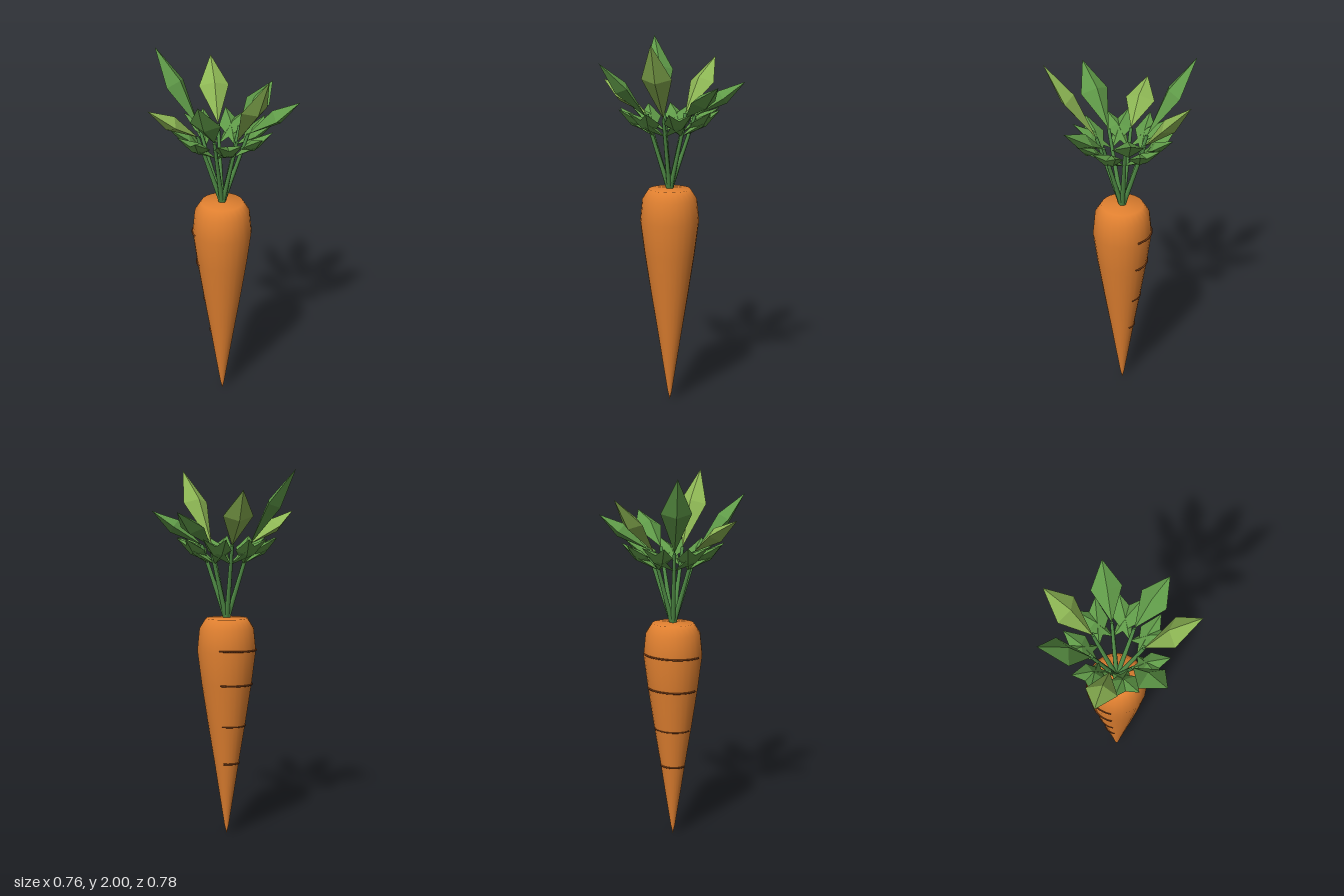
import * as THREE from 'three';
import { ConvexGeometry } from 'three/addons/geometries/ConvexGeometry.js';

const V = (x, y, z) => new THREE.Vector3(x, y, z);

function paint(name, color, flatShading = false) {
  const m = new THREE.MeshStandardMaterial({ color, flatShading });
  m.name = name;
  return m;
}

// Faceted diamond blade from base to tip, widest just past the middle, half as thick as wide
function blade(base, tip, halfWidth) {
  const dir = tip.clone().sub(base).normalize();
  const side = V(0, 1, 0).cross(dir).normalize();
  const up = dir.clone().cross(side);
  const mid = base.clone().lerp(tip, 0.55);
  const off = (v, d) => mid.clone().addScaledVector(v, d);
  return new ConvexGeometry([base, tip, off(side, halfWidth), off(side, -halfWidth),
    off(up, halfWidth / 2), off(up, -halfWidth / 2)]);
}

// Tapered rod between two points
function rod(a, b, rBottom, rTop) {
  const d = b.clone().sub(a);
  const g = new THREE.CylinderGeometry(rTop, rBottom, d.length(), 7);
  g.applyQuaternion(new THREE.Quaternion().setFromUnitVectors(V(0, 1, 0), d.normalize()));
  const c = a.clone().lerp(b, 0.5);
  return g.translate(c.x, c.y, c.z);
}

export function createModel() {
  const orange = paint('carrot orange', 0xe08030);
  const brown = paint('groove brown', 0x7a3d16);
  const stemGreen = paint('stem green', 0x529048);
  const leafGreen = paint('leaf green', 0x5f9a48, true);
  const lightGreen = paint('light leaf green', 0x8db654, true);

  const model = new THREE.Group();
  model.name = 'carrot';
  model.position.x = -0.02;
  const add = (parent, name, geometry, material) => {
    const mesh = new THREE.Mesh(geometry, material);
    mesh.name = name;
    parent.add(mesh);
  };

  // Root: tapered body with rounded shoulder
  const profile = [[0, 0], [0.012, 0.05], [0.068, 0.41], [0.102, 0.62], [0.137, 0.85],
    [0.16, 1.03], [0.148, 1.15], [0.113, 1.205], [0, 1.21]];
  add(model, 'root', new THREE.LatheGeometry(profile.map(([r, y]) => new THREE.Vector2(r, y)), 24), orange);

  // Grooves: thin, slightly tilted arcs around the back
  for (const [y, r, tube] of [[1.036, 0.16, 0.005], [0.847, 0.138, 0.005], [0.617, 0.102, 0.0035], [0.406, 0.068, 0.005]]) {
    const g = new THREE.TorusGeometry(r, tube, 6, 28, 2.32);
    g.rotateZ(-2.76).rotateX(Math.PI / 2).rotateZ(0.04).translate(0, y, 0);
    add(model, 'groove', g, brown);
  }

  // Seven fronds: stem, large end leaf and two splayed leaflets
  for (let i = 0; i < 7; i++) {
    const frond = new THREE.Group();
    frond.name = 'frond';
    frond.rotation.y = i * Math.PI * 2 / 7;
    model.add(frond);
    const stemTop = V(0.135, 1.6, 0);
    add(frond, 'stem', rod(V(0, 1.19, 0), stemTop, 0.014, 0.009), stemGreen);
    const tip = V(0.4, 1.78 + (i % 3) * 0.11, 0);
    add(frond, 'leaf', blade(stemTop, tip, 0.08), i % 2 ? lightGreen : leafGreen);
    for (const s of [-1, 1]) {
      add(frond, 'leaflet', blade(V(0.1, 1.5, 0), V(0.215, 1.64, 0.172 * s), 0.058), leafGreen);
    }
  }

  const group = new THREE.Group();
  group.add(model);
  return group;
}
